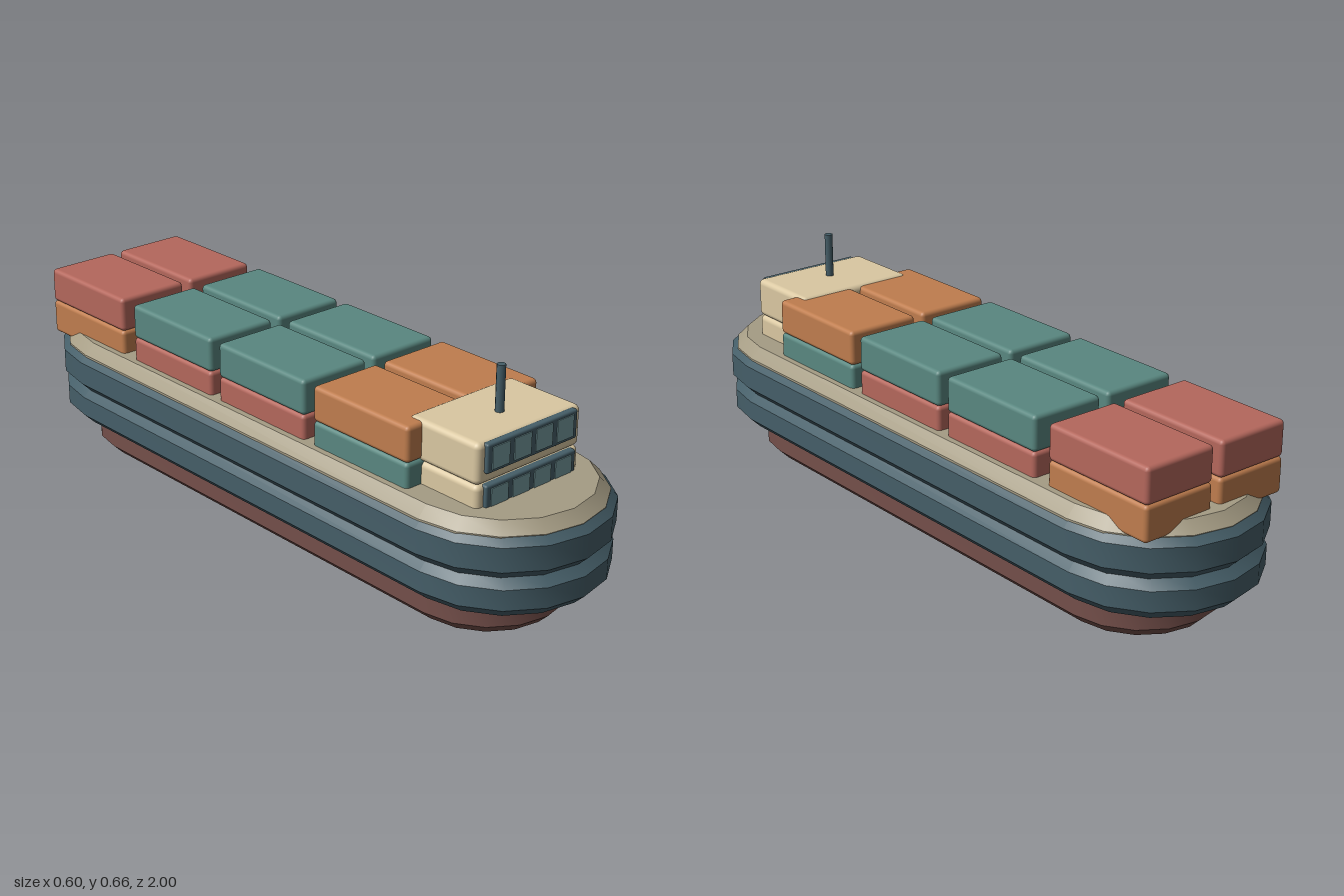
import * as THREE from 'three';
import { toCreasedNormals } from 'three/addons/utils/BufferGeometryUtils.js';
import { RoundedBoxGeometry } from 'three/addons/geometries/RoundedBoxGeometry.js';

const mat = (name, color) => {
  const m = new THREE.MeshStandardMaterial({ color });
  m.name = name;
  return m;
};

export function createModel() {
  const ship = new THREE.Group();
  ship.name = 'containerShip';

  const keelRed = mat('keel red', 0x744f4a);
  const hullBlue = mat('hull slate', 0x455e68);
  const deckTan = mat('deck tan', 0xa59c84);
  const cream = mat('cabin cream', 0xdac8a2);
  const glass = mat('window glass', 0x759a9d);
  const orange = mat('container orange', 0xbf7d4e);
  const teal = mat('container teal', 0x598780);
  const red = mat('container red', 0xb4675c);

  const add = (parent, name, geometry, material, x = 0, y = 0, z = 0) => {
    const mesh = new THREE.Mesh(geometry, material);
    mesh.name = name;
    mesh.position.set(x, y, z);
    parent.add(mesh);
    return mesh;
  };

  // Stadium-shaped slab with chamfered rims
  const hullLayer = (name, halfWidth, halfLength, y0, y1, material) => {
    const bevel = 0.03;
    const shape = new THREE.Shape();
    const steps = 8;
    for (const end of [1, -1]) {
      for (let i = 0; i <= steps; i++) {
        const a = (i / steps) * Math.PI;
        const x = end * halfWidth * Math.cos(a);
        const y = end * (halfLength - halfWidth + halfWidth * Math.sin(a));
        if (end === 1 && i === 0) shape.moveTo(x, y);
        else shape.lineTo(x, y);
      }
    }
    const geo = new THREE.ExtrudeGeometry(shape, {
      depth: y1 - y0 - 2 * bevel, bevelEnabled: true, bevelThickness: bevel,
      bevelSize: bevel, bevelOffset: -bevel, bevelSegments: 1,
    });
    geo.translate(0, 0, bevel);
    geo.rotateX(-Math.PI / 2);
    add(ship, name, toCreasedNormals(geo, 0.6), material, 0, y0, 0);
  };
  hullLayer('keel', 0.221, 0.883, 0, 0.125, keelRed);
  hullLayer('lowerHull', 0.287, 0.997, 0.105, 0.222, hullBlue);
  hullLayer('upperHull', 0.298, 1.0, 0.213, 0.34, hullBlue);
  hullLayer('deck', 0.283, 0.98, 0.285, 0.361, deckTan);

  // Two rows of stacked containers
  const stacks = [
    { z: 0.43, lower: teal, upper: orange },
    { z: 0.043, lower: red, upper: teal },
    { z: -0.343, lower: red, upper: teal },
    { z: -0.745, lower: orange, upper: red },
  ];
  const boxGeo = new RoundedBoxGeometry(0.222, 0.1, 0.352, 2, 0.012);
  const cargo = new THREE.Group();
  cargo.name = 'cargo';
  ship.add(cargo);
  for (const { z, lower, upper } of stacks) {
    for (const side of [-1, 1]) {
      add(cargo, 'lowerContainer', boxGeo, lower, side * 0.124, 0.379, z);
      add(cargo, 'upperContainer', boxGeo, upper, side * 0.124, 0.478, z);
    }
  }

  // Two-storey bridge
  const bridge = new THREE.Group();
  bridge.name = 'bridge';
  ship.add(bridge);
  add(bridge, 'lowerCabin', new RoundedBoxGeometry(0.37, 0.11, 0.24, 3, 0.016), cream, 0, 0.366, 0.677);
  add(bridge, 'upperCabin', new RoundedBoxGeometry(0.372, 0.113, 0.243, 3, 0.016), cream, 0, 0.4765, 0.6755);

  // Window bands with four panes each
  const bandGeo = new RoundedBoxGeometry(0.324, 0.08, 0.024, 2, 0.006);
  const paneGeo = new THREE.BoxGeometry(0.06, 0.06, 0.004);
  for (const y of [0.379, 0.49]) {
    add(bridge, 'windowFrame', bandGeo, hullBlue, 0, y, 0.795);
    for (let i = 0; i < 4; i++) {
      add(bridge, 'windowPane', paneGeo, glass, (i - 1.5) * 0.077, y, 0.8075);
    }
  }

  // Mast on the cabin roof
  add(ship, 'mast', new THREE.CylinderGeometry(0.012, 0.012, 0.14, 10), hullBlue, 0, 0.59, 0.69);

  return ship;
}
